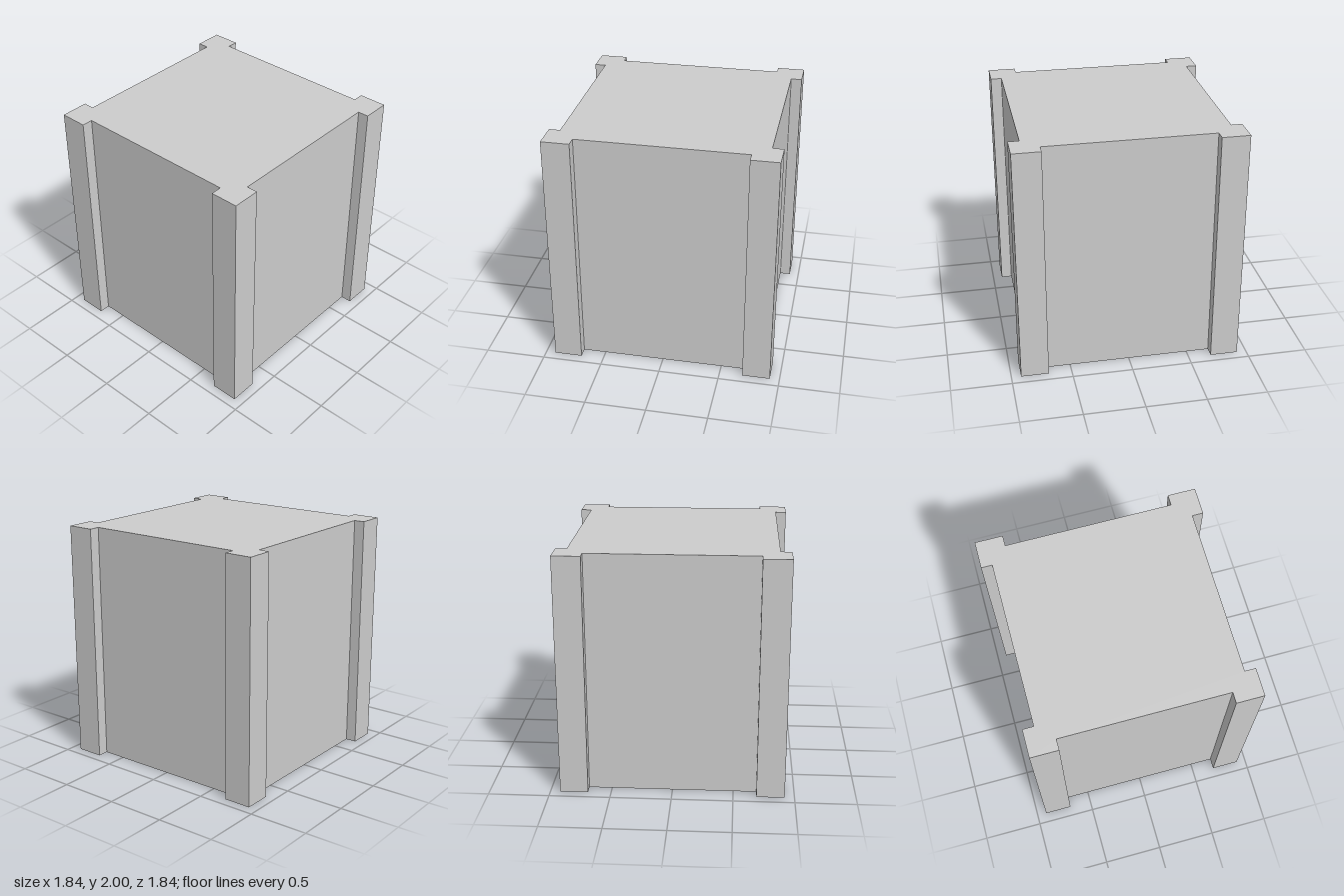
import * as THREE from 'three';

const HEIGHT = 2;
const OUTER = 0.92; // outer faces of the corner posts
const INNER = 0.69; // inner edges of the corner posts
const WALL = 0.83; // recessed wall faces

export function createModel() {
  const group = new THREE.Group();
  group.name = 'pillar';

  // One corner of the plan, turned four times into a closed outline
  const corner = [[WALL, INNER], [OUTER, INNER], [OUTER, OUTER], [INNER, OUTER], [INNER, WALL]];
  const outline = [];
  for (let i = 0; i < 4; i++) {
    for (const [x, y] of corner) {
      outline.push(new THREE.Vector2(x, y).rotateAround(new THREE.Vector2(), i * Math.PI / 2));
    }
  }

  // Block with raised square corner posts, extruded upwards as one solid
  const geometry = new THREE.ExtrudeGeometry(new THREE.Shape(outline), { depth: HEIGHT, bevelEnabled: false });
  geometry.rotateX(-Math.PI / 2);
  const block = new THREE.Mesh(geometry, new THREE.MeshStandardMaterial({ color: 0xcccccc }));
  block.name = 'blockWithCornerPosts';
  group.add(block);

  return group;
}
